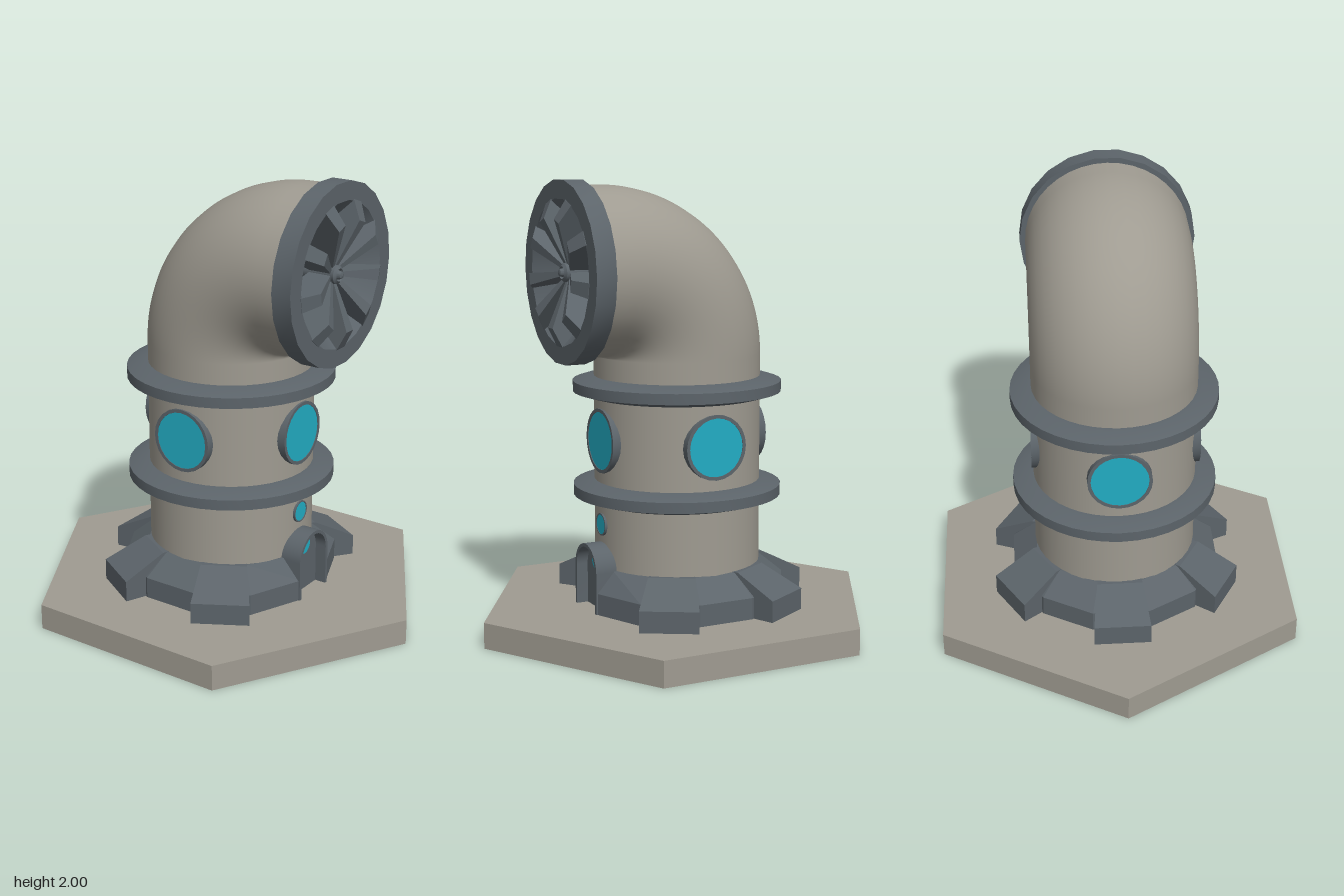
import * as THREE from 'three';
import { toCreasedNormals } from 'three/addons/utils/BufferGeometryUtils.js';

const stone = new THREE.MeshStandardMaterial({ color: 0x9f9b91 });
const metal = new THREE.MeshStandardMaterial({ color: 0x5c646a });
const glass = new THREE.MeshStandardMaterial({ color: 0x22adc4 });

export function createModel() {
  const model = new THREE.Group();

  const add = (name, geometry, material, parent = model) => {
    const mesh = new THREE.Mesh(geometry, material);
    mesh.name = name;
    parent.add(mesh);
    return mesh;
  };
  const lathe = (points, sides = 40) => toCreasedNormals(
    new THREE.LatheGeometry(points.map(([r, y]) => new THREE.Vector2(r, y)), sides), 0.5);
  // Turned part facing +z, its profile given as radius and z, with a corner on the x axis
  const turned = (points, sides) => lathe(points, sides).rotateX(Math.PI / 2).rotateZ(Math.PI / 2);
  const disc = (r, z0, z1) => turned([[r, z0], [r, z1], [0, z1]], 24);
  // Profile in x/y, extruded symmetrically along z, its width following a rule of x
  const slab = (points, width) => {
    const geometry = new THREE.ExtrudeGeometry(
      new THREE.Shape(points.map(([x, y]) => new THREE.Vector2(x, y))),
      { depth: 1, bevelEnabled: false }).translate(0, 0, -0.5);
    const p = geometry.attributes.position;
    for (let i = 0; i < p.count; i++) p.setZ(i, p.getZ(i) * width(p.getX(i)));
    geometry.computeVertexNormals();
    return geometry;
  };

  // Hexagonal base slab
  const base = new THREE.CylinderGeometry(0.93, 0.93, 0.115, 6).translate(0, 0.0575, 0);
  add('base', toCreasedNormals(base, 0.5), stone);

  // Upright pipe, tight quarter bend and short outlet
  const radius = 0.371, bend = 0.375, outletY = 1.608, bendY = outletY - bend;
  add('column', new THREE.CylinderGeometry(radius, radius, bendY - 0.115, 40, 1, true)
    .translate(0, (bendY + 0.115) / 2, 0), stone);
  add('elbow', new THREE.TorusGeometry(bend, radius, 40, 32, Math.PI / 2)
    .rotateY(Math.PI / 2).translate(0, bendY, bend), stone);
  add('outlet', new THREE.CylinderGeometry(radius, radius, 0.48 - bend, 40, 1, true)
    .rotateX(Math.PI / 2).translate(0, outletY, (0.48 + bend) / 2), stone);

  // Bevelled collars
  for (const y of [0.63, 1.095]) {
    add('collar', lathe([[0.36, y - 0.045], [0.395, y - 0.045], [0.465, y - 0.025],
      [0.465, y + 0.022], [0.39, y + 0.045], [0.36, y + 0.045]]), metal);
  }

  // Twelve-sided skirt, open at the front where its ends meet the doorway
  const skirt = new THREE.LatheGeometry([[0.492, 0.115], [0.492, 0.21], [0.38, 0.302], [0.36, 0.302]]
    .map(([r, y]) => new THREE.Vector2(r, y)), 11, Math.PI / 12, Math.PI * 11 / 6);
  const sp = skirt.attributes.position;
  for (let i = 0; i < sp.count; i++) {
    const x = sp.getX(i), z = sp.getZ(i);
    if (z > 0.3 && Math.abs(x) < 0.13) sp.setXYZ(i, Math.sign(x) * 0.108, sp.getY(i), Math.min(z, 0.447));
  }
  add('skirt', toCreasedNormals(skirt, 0.2), metal);

  // Five buttresses; the doorway takes the sixth place
  const buttress = slab([[0.3, 0.115], [0.575, 0.115], [0.575, 0.21], [0.385, 0.304], [0.3, 0.304]],
    (r) => 0.106 + 0.26 * r);
  for (let i = 0; i < 6; i++) {
    if (i !== 3) add('buttress', buttress, metal).rotation.y = Math.PI / 2 + i * Math.PI / 3;
  }

  // Arched doorway: a thin surround with a recessed door and lamp
  const arch = (path, r) => {
    path.moveTo(-r, 0.115);
    path.lineTo(r, 0.115);
    path.lineTo(r, 0.295);
    path.absarc(0, 0.295, r, 0, Math.PI, false);
    path.closePath();
    return path;
  };
  const archSolid = (shape, z0, z1) => toCreasedNormals(new THREE.ExtrudeGeometry(shape,
    { depth: z1 - z0, bevelEnabled: false, curveSegments: 16 }).translate(0, 0, z0), 0.5);
  const surround = new THREE.Shape();
  surround.moveTo(0.1, 0.115);
  surround.lineTo(0.115, 0.115);
  surround.lineTo(0.115, 0.295);
  surround.absarc(0, 0.295, 0.115, 0, Math.PI, false);
  surround.lineTo(-0.115, 0.115);
  surround.lineTo(-0.1, 0.115);
  surround.lineTo(-0.1, 0.295);
  surround.absarc(0, 0.295, 0.1, Math.PI, 0, true);
  add('doorSurround', archSolid(surround, 0.3, 0.451), metal);
  add('door', archSolid(arch(new THREE.Shape(), 0.1), 0.3, 0.398), metal);
  add('doorLamp', disc(0.043, 0.38, 0.402), glass).position.y = 0.332;

  // Small lamp over the door
  add('lampFrame', turned([[0.05, 0.34], [0.05, 0.378], [0.044, 0.378], [0.044, 0.36]], 24), metal).position.y = 0.49;
  add('lamp', disc(0.045, 0.35, 0.376), glass).position.y = 0.49;

  // Four portholes around the column
  for (let i = 0; i < 4; i++) {
    const porthole = new THREE.Group();
    porthole.name = 'porthole';
    porthole.position.y = 0.865;
    porthole.rotation.y = i * Math.PI / 2;
    add('portholeFrame', turned([[0.143, 0.32], [0.143, 0.379], [0.128, 0.379], [0.128, 0.36]], 24), metal, porthole);
    add('portholeGlass', disc(0.129, 0.33, 0.376), glass, porthole);
    model.add(porthole);
  }

  // Outlet flange with a deep conical vent, ribs and hub
  const vent = new THREE.Group();
  vent.name = 'vent';
  vent.position.y = outletY;
  model.add(vent);
  add('flange', turned([[0.36, 0.47], [0.396, 0.47], [0.396, 0.56], [0.315, 0.56]], 22), metal, vent);
  add('dish', turned([[0.315, 0.56], [0.03, 0.28], [0, 0.28]], 22), metal, vent);

  // Rib profile is radius by depth, narrowing toward the hub, then stood up along +y
  const rib = slab([[0.02, 0.42], [0.2, 0.44], [0.318, 0.55], [0.318, 0.562], [0.235, 0.605], [0.02, 0.52]],
    (r) => 0.012 + 0.17 * r);
  rib.applyMatrix4(new THREE.Matrix4().makeBasis(
    new THREE.Vector3(0, 1, 0), new THREE.Vector3(0, 0, 1), new THREE.Vector3(1, 0, 0)));
  for (let i = 0; i < 9; i++) {
    add('rib', rib, metal, vent).rotation.z = Math.PI + i * Math.PI * 2 / 9;
  }
  add('hub', turned([[0.04, 0.28], [0.04, 0.54], [0.028, 0.55], [0.02, 0.54], [0.015, 0.56], [0, 0.565]], 16),
    metal, vent);

  return model;
}
